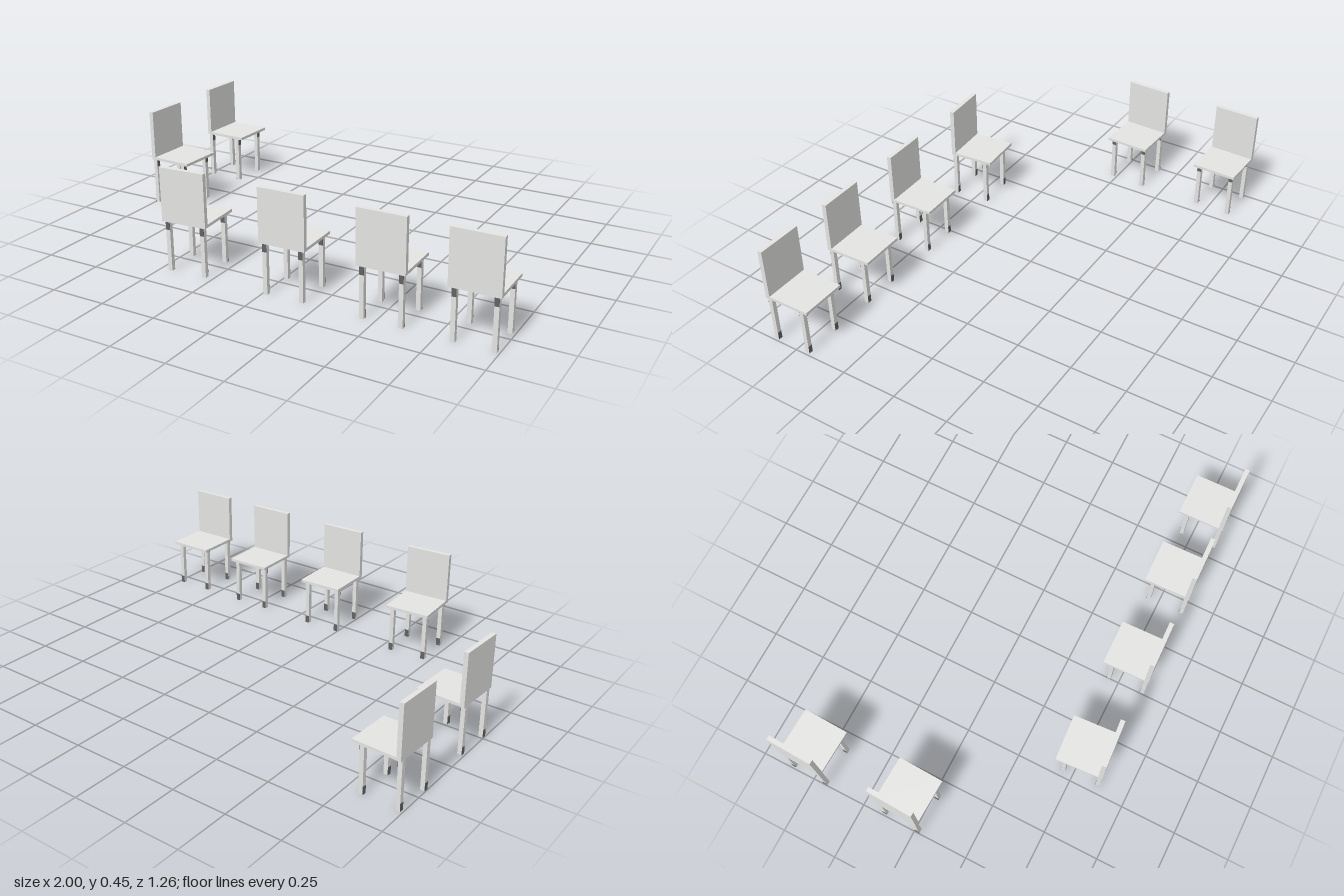
import * as THREE from 'three';

const W = 0.206, D = 0.212;            // seat width and depth
const SEAT_TOP = 0.232, SEAT_BOTTOM = 0.219;
const BACK_TOP = 0.454, BACK_THICK = 0.02;
const LEG = 0.019;
const BAND = 0.035, PLATE = 0.001;     // dark marks on the leg faces

function addBox(group, name, material, size, position) {
  const mesh = new THREE.Mesh(new THREE.BoxGeometry(...size), material);
  mesh.position.set(...position);
  mesh.name = name;
  group.add(mesh);
}

// A leg with a dark mark at the top of one face and the bottom of the opposite face
function createLeg(name, pale, dark, facing) {
  const leg = new THREE.Group();
  leg.name = name;
  const offset = facing * (LEG + PLATE) / 2;
  addBox(leg, 'post', pale, [LEG, SEAT_BOTTOM, LEG], [0, SEAT_BOTTOM / 2, 0]);
  addBox(leg, 'topMark', dark, [LEG, BAND, PLATE], [0, SEAT_BOTTOM - BAND / 2, offset]);
  addBox(leg, 'footMark', dark, [LEG, BAND, PLATE], [0, BAND / 2, -offset]);
  return leg;
}

// One chair standing on y = 0 with its backrest on the local +z side
function createChair(pale, dark, facing) {
  const chair = new THREE.Group();

  addBox(chair, 'seat', pale,
    [W, SEAT_TOP - SEAT_BOTTOM, D - BACK_THICK],
    [0, (SEAT_TOP + SEAT_BOTTOM) / 2, -BACK_THICK / 2]);

  addBox(chair, 'backrest', pale,
    [W, BACK_TOP - SEAT_BOTTOM, BACK_THICK],
    [0, (BACK_TOP + SEAT_BOTTOM) / 2, D / 2 - BACK_THICK / 2]);

  // Rear legs sit under the backrest, front legs are set in from the edge
  for (const [sideName, x] of [['right', -0.078], ['left', 0.085]]) {
    for (const [endName, z] of [['Rear', D / 2 - 0.012], ['Front', -D / 2 + 0.037]]) {
      const leg = createLeg(sideName + endName + 'Leg', pale, dark, facing);
      leg.position.set(x, 0, z);
      chair.add(leg);
    }
  }
  return chair;
}

export function createModel() {
  const model = new THREE.Group();
  model.name = 'chairs';
  const paleGrey = new THREE.MeshStandardMaterial({ color: 0xe4e4e2 });
  paleGrey.name = 'paleGrey';
  const darkGrey = new THREE.MeshStandardMaterial({ color: 0x626266 });
  darkGrey.name = 'darkGrey';

  // x, z, turn and mark direction of each chair: a row of four, then two at the side
  const placements = [
    [-0.382, 0.517, 0.065, 1],
    [0.09, 0.518, 0.025, 1],
    [0.521, 0.518, 0.02, 1],
    [0.895, 0.519, 0.01, 1],
    [-0.89, -0.067, -Math.PI / 2 - 0.04, -1],
    [-0.89, -0.525, -Math.PI / 2 - 0.04, -1],
  ];
  placements.forEach(([x, z, turn, facing], i) => {
    const chair = createChair(paleGrey, darkGrey, facing);
    chair.name = 'chair' + (i + 1);
    chair.position.set(x, 0, z);
    chair.rotation.y = turn;
    model.add(chair);
  });
  return model;
}
